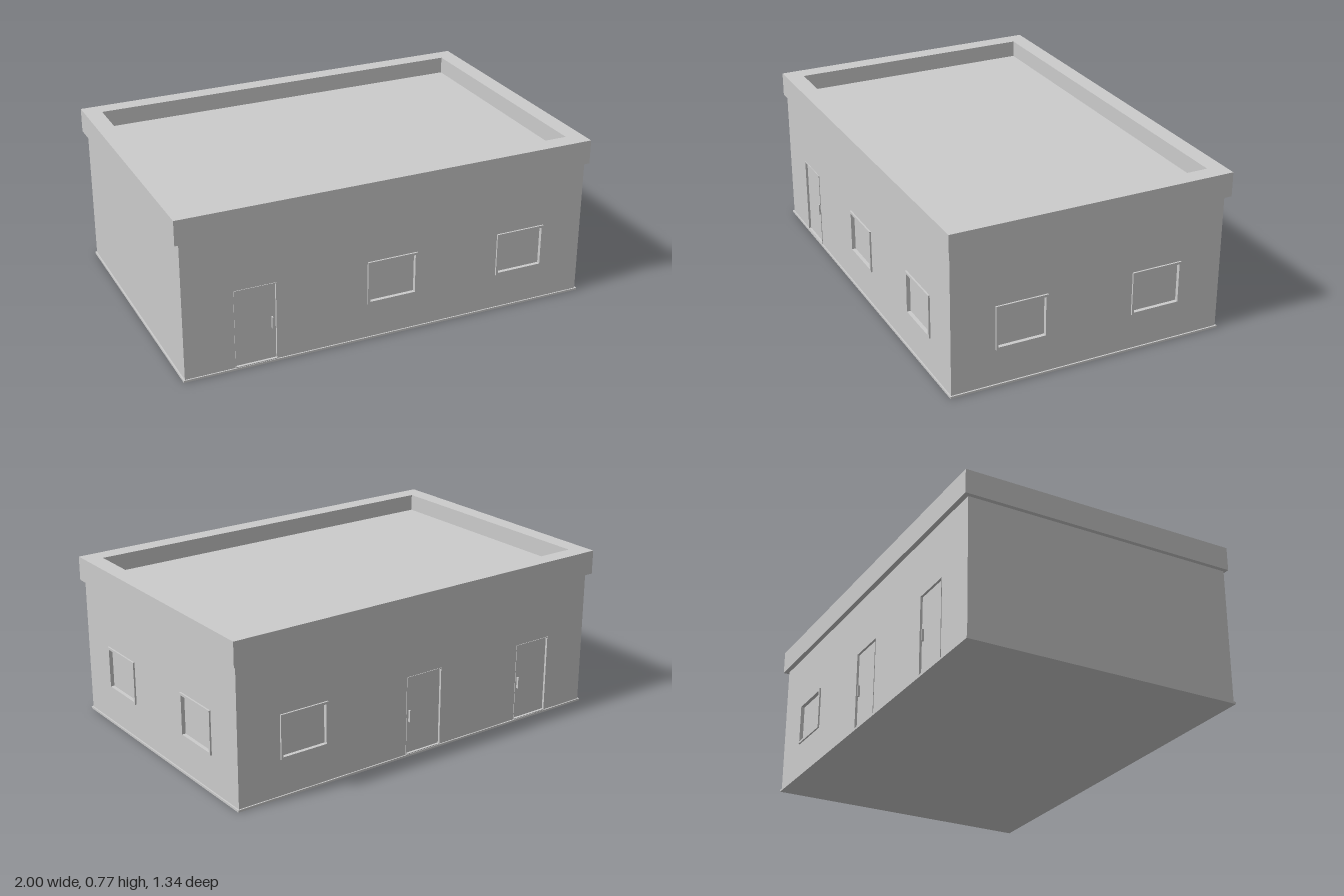
import * as THREE from 'three';

const material = new THREE.MeshStandardMaterial({ color: 0xcccccc });
const WALL_H = 0.66, WALL_T = 0.06, HALF_X = 0.98, HALF_Z = 0.655, MID_Z = 0.006;
const WINDOW = { w: 0.222, y0: 0.19, y1: 0.375 };
const DOOR = { w: 0.19, y0: 0.012, y1: 0.382 };

function add(parent, name, geometry, x = 0, y = 0, z = 0) {
  const mesh = new THREE.Mesh(geometry, material);
  mesh.name = name;
  mesh.position.set(x, y, z);
  parent.add(mesh);
  return mesh;
}

const box = (w, h, d) => new THREE.BoxGeometry(w, h, d);

function trace(path, x0, y0, x1, y1) {
  return path.moveTo(x0, y0).lineTo(x1, y0).lineTo(x1, y1).lineTo(x0, y1).closePath();
}

// Rectangular plate with rectangular holes, each given as [x0, y0, x1, y1]
function plate(outer, holes, depth) {
  const shape = trace(new THREE.Shape(), ...outer);
  shape.holes = holes.map((h) => trace(new THREE.Path(), ...h));
  return new THREE.ExtrudeGeometry(shape, { depth, bevelEnabled: false });
}

function opening(x, o) {
  return [x - o.w / 2, o.y0, x + o.w / 2, o.y1];
}

// Protruding frame around a recessed pane
function addWindow(wall, x) {
  const group = new THREE.Group();
  group.name = 'window';
  const [x0, y0, x1, y1] = opening(x, WINDOW);
  const rim = 0.011;
  add(group, 'windowFrame', plate([x0 - rim, y0 - rim, x1 + rim, y1 + rim], [[x0, y0, x1, y1]], 0.018), 0, 0, -0.01);
  add(group, 'windowPane', box(WINDOW.w, y1 - y0, 0.01), x, (y0 + y1) / 2, -0.015);
  wall.add(group);
}

// Recessed leaf with a thin frame, an upright handle and a threshold
function addDoor(wall, x, handleSide) {
  const group = new THREE.Group();
  group.name = 'door';
  const [x0, y0, x1, y1] = opening(x, DOOR);
  const rim = 0.004;
  add(group, 'doorFrame', plate([x0 - rim, y0, x1 + rim, y1 + rim], [[x0, y0, x1, y1]], 0.013), 0, 0, -0.01);
  add(group, 'doorLeaf', box(DOOR.w, y1 - y0, 0.02), x, (y0 + y1) / 2, -0.018);
  add(group, 'doorHandle', box(0.006, 0.055, 0.012), x + handleSide * 0.078, 0.193, -0.002);
  add(group, 'threshold', box(DOOR.w, 0.004, 0.015), x, 0.012, -0.004);
  wall.add(group);
}

// Wall in its own frame: x along the wall, outer face at z = 0
function makeWall(name, halfWidth, windows, doors) {
  const wall = new THREE.Group();
  wall.name = name;
  const holes = [
    ...windows.map((x) => opening(x, WINDOW)),
    ...doors.map(([x]) => opening(x, DOOR)),
  ];
  add(wall, name + 'Panel', plate([-halfWidth, 0, halfWidth, WALL_H], holes, WALL_T), 0, 0, -WALL_T);
  windows.forEach((x) => addWindow(wall, x));
  doors.forEach(([x, side]) => addDoor(wall, x, side));
  return wall;
}

export function createModel() {
  const model = new THREE.Group();
  model.name = 'flatRoofBuilding';

  // Walls: name, half width, windows, doors [x, handle side], distance out, turn
  const sideHalf = HALF_Z - WALL_T;
  const walls = [
    ['frontWall', HALF_X, [0.003, 0.656], [[-0.65, 1]], HALF_Z, 0],
    ['leftWall', sideHalf, [-0.328, 0.328], [], HALF_X, Math.PI / 2],
    ['backWall', HALF_X, [-0.647], [[0.004, -1], [0.655, -1]], HALF_Z, Math.PI],
    ['rightWall', sideHalf, [], [], HALF_X, -Math.PI / 2],
  ];
  for (const [name, half, windows, doors, out, turn] of walls) {
    const wall = makeWall(name, half, windows, doors);
    wall.rotation.y = turn;
    wall.position.set(Math.sin(turn) * out, 0, Math.cos(turn) * out + MID_Z);
    model.add(wall);
  }

  // Floor slab showing as a thin strip at the foot of the walls
  add(model, 'floorSlab', box(2 * HALF_X + 0.014, 0.01, 2 * HALF_Z + 0.012), 0, 0.005, MID_Z);

  // Parapet ring and sunken roof deck
  const parapet = add(model, 'parapet', plate([-1, -0.672, 1, 0.672], [[-0.918, -0.588, 0.918, 0.592]], 0.114), 0, 0.657, 0);
  parapet.rotation.x = -Math.PI / 2;
  add(model, 'roofDeck', box(1.85, 0.033, 1.19), 0, 0.6735, -0.002);

  return model;
}
